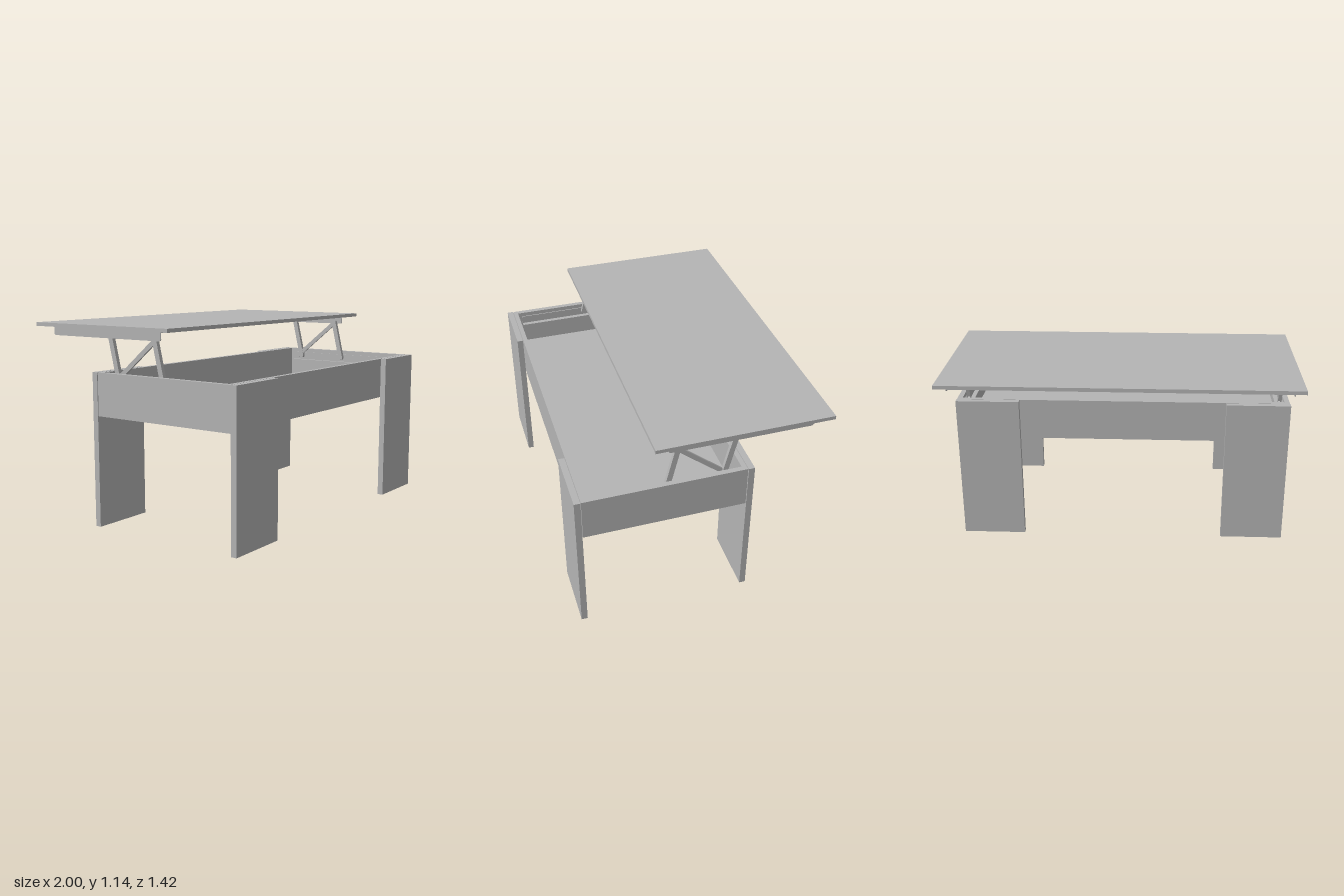
import * as THREE from 'three';

export function createModel() {
  const group = new THREE.Group();
  const grey = new THREE.MeshStandardMaterial({ color: 0xb4b4b4 });
  grey.name = 'grey';

  const add = (name, geometry) => {
    const mesh = new THREE.Mesh(geometry, grey);
    mesh.name = name;
    group.add(mesh);
    return mesh;
  };
  // Box from its lower and upper limits on each axis
  const box = (name, x0, x1, y0, y1, z0, z1) => {
    const mesh = add(name, new THREE.BoxGeometry(Math.abs(x1 - x0), y1 - y0, z1 - z0));
    mesh.position.set((x0 + x1) / 2, (y0 + y1) / 2, (z0 + z1) / 2);
    return mesh;
  };
  // Flat bar with rounded ends, running between two (z, y) pivots
  const bar = (name, x, [z0, y0], [z1, y1], width, depth) => {
    const length = Math.hypot(z1 - z0, y1 - y0), r = width / 2;
    const shape = new THREE.Shape();
    shape.absarc(0, 0, r, Math.PI / 2, Math.PI * 1.5, false);
    shape.absarc(length, 0, r, -Math.PI / 2, Math.PI / 2, false);
    const geometry = new THREE.ExtrudeGeometry(shape, { depth, bevelEnabled: false, curveSegments: 8 });
    geometry.translate(0, 0, -depth / 2);
    geometry.rotateZ(Math.atan2(y1 - y0, z1 - z0));
    geometry.rotateY(-Math.PI / 2);
    add(name, geometry).position.set(x, y0, z0);
  };
  const pin = (name, x, y, z) => {
    const geometry = new THREE.CylinderGeometry(0.009, 0.009, 0.028, 12).rotateZ(Math.PI / 2);
    add(name, geometry).position.set(x, y, z);
  };

  // Raised table top
  box('tableTop', -1, 1, 1.12, 1.141, -0.71, 0.28);

  // Storage tray
  box('frontPanel', -0.955, 0.955, 0.635, 0.88, 0.645, 0.672);
  box('backPanel', -0.955, 0.955, 0.635, 0.88, -0.24, -0.213);
  box('trayFloor', -0.955, 0.955, 0.645, 0.665, -0.213, 0.645);

  for (const s of [1, -1]) {
    const side = s > 0 ? 'left' : 'right';
    box(side + 'SidePanel', s * 0.955, s * 0.985, 0.635, 0.88, -0.24, 0.672);

    // Wide slab legs outside the front and back panels
    box(side + 'FrontLeg', s * 0.612, s * 0.987, 0, 0.88, 0.675, 0.71);
    box(side + 'BackLeg', s * 0.612, s * 0.987, 0, 0.88, -0.278, -0.243);

    // Angle rail fixed inside the tray
    box(side + 'LowerRailWeb', s * 0.949, s * 0.955, 0.80, 0.855, -0.19, 0.62);
    box(side + 'LowerRailFlange', s * 0.922, s * 0.95, 0.80, 0.806, -0.19, 0.62);

    // Angle rail under the top, with rounded lower corners
    const profile = new THREE.Shape();
    profile.moveTo(-0.61, 1.12);
    profile.lineTo(-0.61, 1.08);
    profile.quadraticCurveTo(-0.61, 1.069, -0.595, 1.069);
    profile.lineTo(0.18, 1.069);
    profile.quadraticCurveTo(0.195, 1.069, 0.195, 1.08);
    profile.lineTo(0.195, 1.12);
    const web = new THREE.ExtrudeGeometry(profile, { depth: 0.006, bevelEnabled: false, curveSegments: 5 });
    web.translate(0, 0, -0.003);
    web.rotateY(-Math.PI / 2);
    add(side + 'UpperRailWeb', web).position.x = s * 0.952;
    box(side + 'UpperRailFlange', s * 0.924, s * 0.95, 1.114, 1.12, -0.61, 0.195);

    // Lifting arms and diagonal brace
    const x = s * 0.938;
    bar(side + 'FrontArm', x, [0.2, 0.835], [0.143, 1.078], 0.03, 0.022);
    bar(side + 'BackArm', x, [-0.117, 0.835], [-0.175, 1.078], 0.03, 0.022);
    bar(side + 'Brace', s * 0.934, [-0.14, 0.838], [0.14, 1.07], 0.026, 0.012);

    // Pivot pins and rail fixings
    for (const [y, z] of [[1.085, 0.143], [1.085, -0.175], [1.085, -0.59], [0.83, 0.2], [0.83, -0.117]]) {
      pin(side + 'Pivot', s * 0.941, y, z);
    }
  }
  return group;
}
